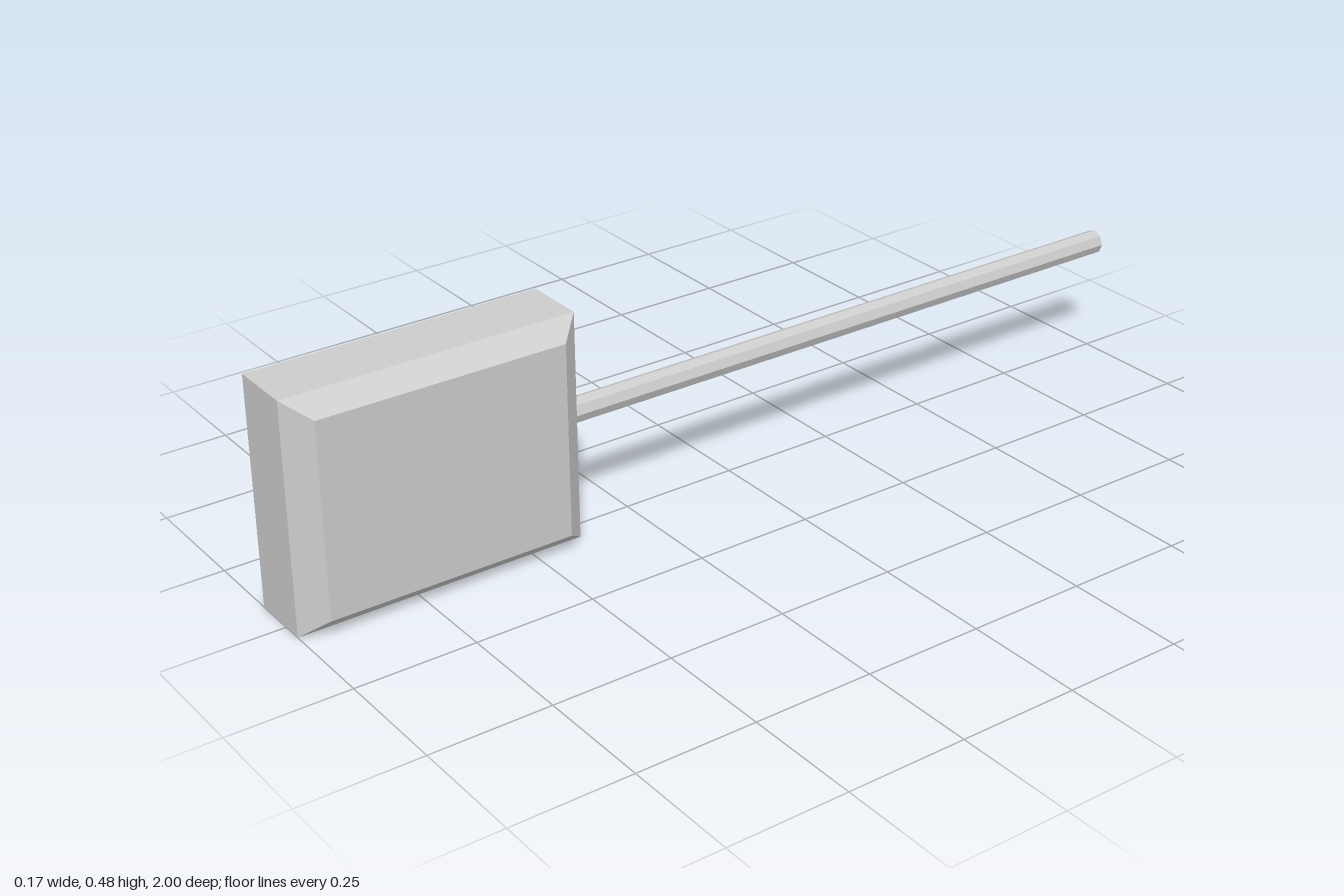
import * as THREE from 'three';

// Rectangular section at a given x; corners run counter-clockwise seen from +x
const section = (x, y0, y1, z0, z1) => [[x, y0, z1], [x, y0, z0], [x, y1, z0], [x, y1, z1]];

// Skin the sections with quads and close the last one
function loftRectangles(sections) {
  const positions = [];
  const quad = (a, b, c, d) => positions.push(...a, ...b, ...c, ...a, ...c, ...d);
  for (let i = 0; i < sections.length - 1; i++) {
    for (let k = 0; k < 4; k++) {
      const n = (k + 1) % 4;
      quad(sections[i][k], sections[i][n], sections[i + 1][n], sections[i + 1][k]);
    }
  }
  quad(...sections[sections.length - 1]);
  const geometry = new THREE.BufferGeometry();
  geometry.setAttribute('position', new THREE.Float32BufferAttribute(positions, 3));
  geometry.computeVertexNormals();
  return geometry;
}

export function createModel() {
  const group = new THREE.Group();
  group.name = 'panWithHandle';
  const material = new THREE.MeshStandardMaterial({
    color: 0xcccccc, flatShading: true, side: THREE.DoubleSide,
  });

  // Thin-walled tray, open towards -x, with a bevelled base at +x
  const tray = new THREE.Mesh(loftRectangles([
    section(-0.087, 0, 0.478, 0.39, 1),
    section(0.044, 0, 0.478, 0.39, 1),
    section(0.087, 0.038, 0.442, 0.437, 0.953),
  ]), material);
  tray.name = 'tray';
  group.add(tray);

  // Hollow octagonal handle running back from the tray wall
  const handleGeometry = new THREE.CylinderGeometry(0.026, 0.026, 1.39, 8, 1, true);
  handleGeometry.rotateX(Math.PI / 2);
  const handle = new THREE.Mesh(handleGeometry, material);
  handle.name = 'handle';
  handle.position.set(0, 0.25, -0.305);
  group.add(handle);

  return group;
}
